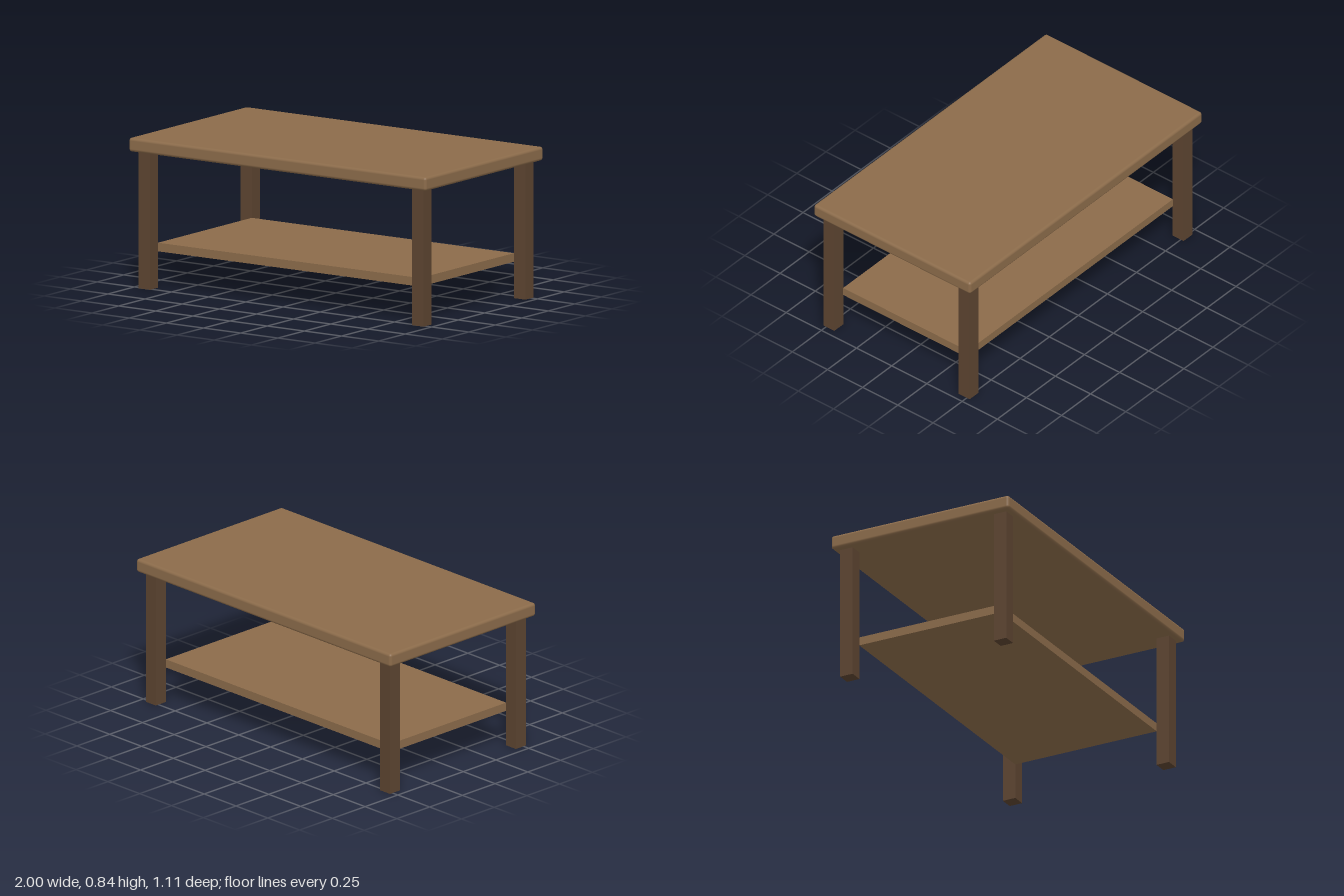
import * as THREE from 'three';
import { RoundedBoxGeometry } from 'three/addons/geometries/RoundedBoxGeometry.js';

export function createModel() {
  const table = new THREE.Group();
  table.name = 'coffeeTable';

  const lightWood = new THREE.MeshStandardMaterial({ color: 0x8b6b4a });
  lightWood.name = 'lightWood';
  const darkWood = new THREE.MeshStandardMaterial({ color: 0x5c4430 });
  darkWood.name = 'darkWood';

  const add = (name, geometry, material, x, y, z) => {
    const mesh = new THREE.Mesh(geometry, material);
    mesh.name = name;
    mesh.position.set(x, y, z);
    table.add(mesh);
  };

  // Thick top with softly rounded edges
  const topThickness = 0.077, underside = 0.764;
  add('tableTop', new RoundedBoxGeometry(2, topThickness, 1.113, 3, 0.016), lightWood,
    0, underside + topThickness / 2, 0);

  // Lower shelf, whose corners meet the inner corners of the legs
  add('shelf', new THREE.BoxGeometry(1.764, 0.048, 0.886), lightWood, 0, 0.227, 0);

  // Four square legs
  const legGeometry = new THREE.BoxGeometry(0.078, underside, 0.078);
  for (const [end, z] of [['front', 0.481], ['back', -0.481]]) {
    for (const [side, x] of [['Left', 0.92], ['Right', -0.92]]) {
      add(`${end}${side}Leg`, legGeometry, darkWood, x, underside / 2, z);
    }
  }

  return table;
}
